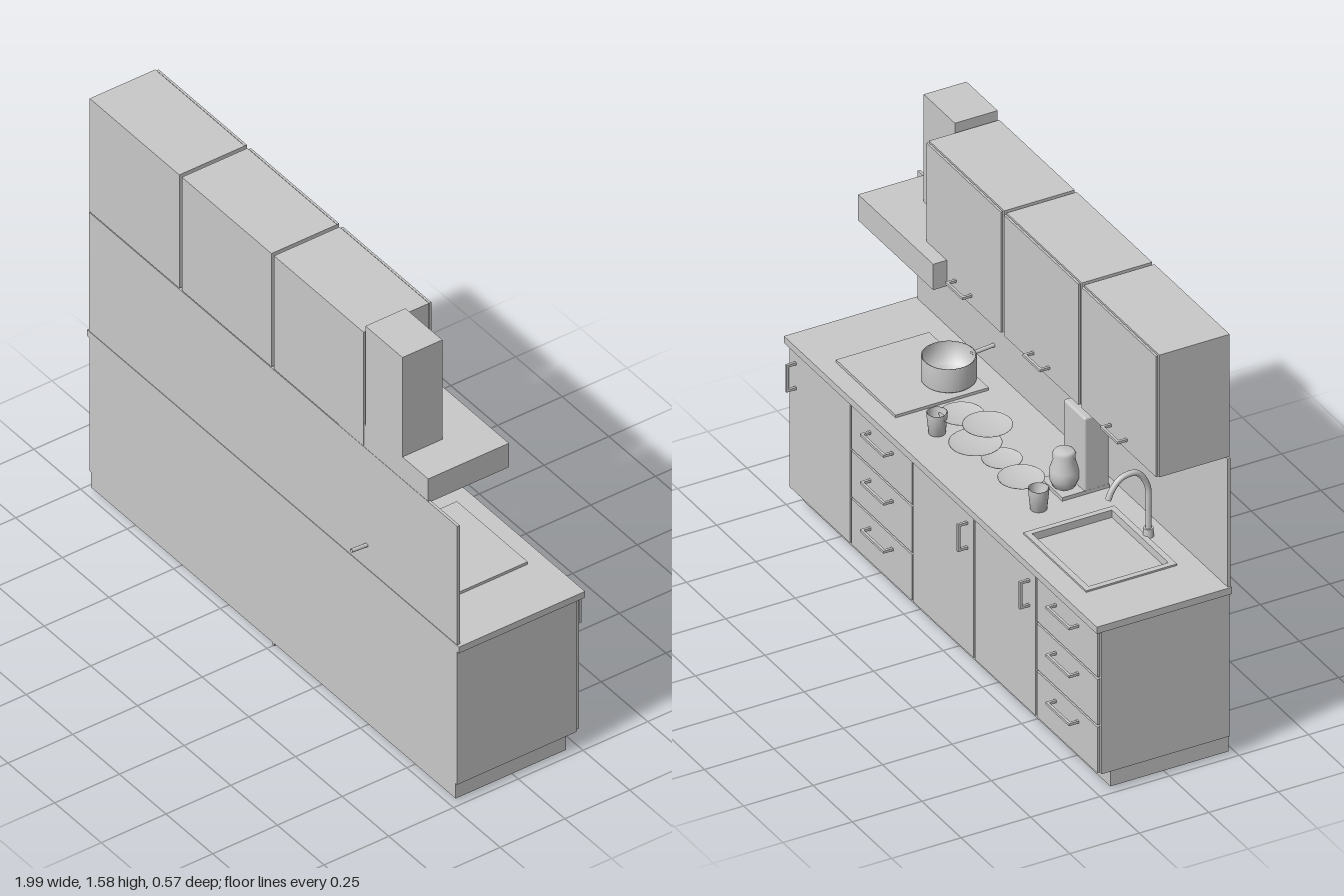
import * as THREE from 'three';
import { RoundedBoxGeometry } from 'three/addons/geometries/RoundedBoxGeometry.js';

export function createModel() {
  const kitchen = new THREE.Group();
  kitchen.name = 'kitchen';
  const grey = new THREE.MeshStandardMaterial({ color: 0xc8c8c8 });
  grey.name = 'light grey';
  grey.side = THREE.DoubleSide;

  const add = (name, geometry, x = 0, y = 0, z = 0) => {
    const mesh = new THREE.Mesh(geometry, grey);
    mesh.name = name;
    mesh.position.set(x, y, z);
    kitchen.add(mesh);
    return mesh;
  };
  // Box given by its low and high limits on each axis
  const box = (name, x0, x1, y0, y1, z0, z1) =>
    add(name, new THREE.BoxGeometry(x1 - x0, y1 - y0, z1 - z0), (x0 + x1) / 2, (y0 + y1) / 2, (z0 + z1) / 2);
  const v = (x, y, z) => new THREE.Vector3(x, y, z);
  const lathe = (name, points, x, y, z) =>
    add(name, new THREE.LatheGeometry(points.map(p => new THREE.Vector2(...p)), 32), x, y, z);
  // Horizontal slab with a rectangular opening
  const frame = (name, outer, inner, y0, y1) => {
    const rect = (T, [x0, x1, z0, z1]) => new T([[x0, z0], [x1, z0], [x1, z1], [x0, z1]]
      .map(([x, z]) => new THREE.Vector2(x, -z)));
    const shape = rect(THREE.Shape, outer);
    shape.holes.push(rect(THREE.Path, inner));
    const geometry = new THREE.ExtrudeGeometry(shape, { depth: y1 - y0, bevelEnabled: false });
    geometry.rotateX(-Math.PI / 2);
    add(name, geometry, 0, y0, 0);
  };
  // Bar handle on two posts, fixed to a face at z
  const handle = (name, x, y, z, length, vertical) => {
    const group = new THREE.Group();
    group.name = name;
    const part = (w, h, d, px, pz) => {
      const mesh = new THREE.Mesh(new THREE.BoxGeometry(w, h, d), grey);
      mesh.name = 'handleBar';
      mesh.position.set(px, 0, pz);
      group.add(mesh);
    };
    part(length, 0.009, 0.009, 0, -0.031);
    for (const s of [-1, 1]) part(0.009, 0.009, 0.032, s * (length / 2 - 0.0045), -0.015);
    group.position.set(x, y, z);
    if (vertical) group.rotation.z = Math.PI / 2;
    kitchen.add(group);
  };

  // Base cabinets
  box('plinth', -0.977, 0.977, 0.01, 0.07, -0.2, 0.225);
  box('levellingPin', -0.004, 0.004, 0, 0.012, 0.217, 0.225);
  box('baseCabinet', -0.985, 0.985, 0.07, 0.6, -0.236, 0.225);
  const unit = 0.394, gap = 0.004, front = -0.249;
  for (let i = 0; i < 5; i++) {
    const x0 = -0.985 + i * unit, x1 = x0 + unit, mid = (x0 + x1) / 2;
    if (i === 0 || i === 3) {
      for (let j = 0; j < 3; j++) {
        const y0 = 0.072 + j * 0.1765;
        box('drawerFront', x0 + gap, x1 - gap, y0 + gap, y0 + 0.1725, front, -0.239);
        handle('drawerHandle', mid, 0.2 + j * 0.1765, front, 0.15, false);
      }
    } else {
      box('baseDoor', x0 + gap, x1 - gap, 0.076, 0.596, front, -0.239);
      handle('doorHandle', i === 4 ? x1 - 0.045 : x0 + 0.045, 0.507, front, 0.1, true);
    }
  }

  // Worktop, sink and splashback
  frame('worktop', [-0.997, 0.997, -0.26, 0.227], [-0.785, -0.415, -0.172, 0.125], 0.6, 0.625);
  frame('sinkRim', [-0.8, -0.4, -0.187, 0.14], [-0.78, -0.42, -0.167, 0.12], 0.603, 0.631);
  box('sinkFloor', -0.785, -0.415, 0.599, 0.604, -0.172, 0.125);
  box('splashback', -0.99, 0.985, 0.625, 1.096, 0.215, 0.225);

  // Swan neck tap
  const neck = new THREE.CatmullRomCurve3([v(0, 0, 0.15), v(0, 0.1, 0.15), v(0, 0.19, 0.145),
    v(0, 0.245, 0.105), v(0, 0.24, 0.05), v(0, 0.205, 0.018), v(0, 0.175, 0.005)]);
  add('tapNeck', new THREE.TubeGeometry(neck, 40, 0.01, 14, false), -0.6, 0.625, 0);
  add('tapBase', new THREE.CylinderGeometry(0.016, 0.018, 0.03, 20), -0.6, 0.64, 0.15);

  // Hob and saucepan
  box('hob', 0.4, 0.78, 0.625, 0.635, -0.195, 0.14);
  lathe('saucepan', [[0, 0], [0.08, 0], [0.088, 0.008], [0.088, 0.09], [0.083, 0.09], [0.083, 0.012], [0, 0.012]],
    0.5, 0.636, 0.053);
  const panHandle = new THREE.CatmullRomCurve3([v(0.5, 0.708, 0.135), v(0.5, 0.714, 0.2), v(0.5, 0.72, 0.285)]);
  add('saucepanHandle', new THREE.TubeGeometry(panHandle, 12, 0.007, 10, false));

  // Coffee maker
  add('coffeeMakerBody', new RoundedBoxGeometry(0.135, 0.275, 0.09, 3, 0.008), -0.222, 0.7675, 0.14);
  box('coffeeMakerBase', -0.29, -0.154, 0.625, 0.638, 0.015, 0.185);
  lathe('coffeeJug', [[0, 0], [0.036, 0], [0.048, 0.03], [0.047, 0.06], [0.035, 0.095], [0.037, 0.118],
    [0.03, 0.128], [0, 0.13]], -0.225, 0.638, 0.058);

  // Overlapping plates: x, top height, z, radius
  for (const [x, y, z, r] of [[-0.17, 0.675, -0.065, 0.075], [-0.03, 0.665, -0.055, 0.065],
    [0.06, 0.69, -0.1, 0.085], [0.12, 0.7, -0.022, 0.08], [0.24, 0.682, -0.048, 0.072]]) {
    lathe('plate', [[0, -0.012], [r * 0.6, -0.012], [r, 0], [r * 0.97, 0.001], [r * 0.6, -0.008], [0, -0.008]], x, y, z);
  }

  // Cups
  for (const [x, z] of [[0.26, -0.125], [-0.29, -0.07]]) {
    lathe('cup', [[0, 0], [0.027, 0], [0.034, 0.075], [0.03, 0.075], [0.024, 0.006], [0, 0.006]], x, 0.625, z);
  }

  // Wall cabinets
  for (const x0 of [-0.985, -0.491, 0.003]) {
    const x1 = x0 + 0.48;
    box('wallCabinet', x0, x1, 1.1, 1.55, -0.028, 0.225);
    box('wallDoor', x0 + 0.003, x1 - 0.003, 1.103, 1.547, -0.039, -0.031);
    handle('wallDoorHandle', (x0 + x1) / 2, 1.14, -0.039, 0.11, false);
  }

  // Extractor hood
  box('hoodCanopy', 0.35, 0.828, 1.09, 1.185, -0.088, 0.224);
  box('hoodChimney', 0.492, 0.69, 1.185, 1.58, 0.07, 0.224);

  return kitchen;
}
